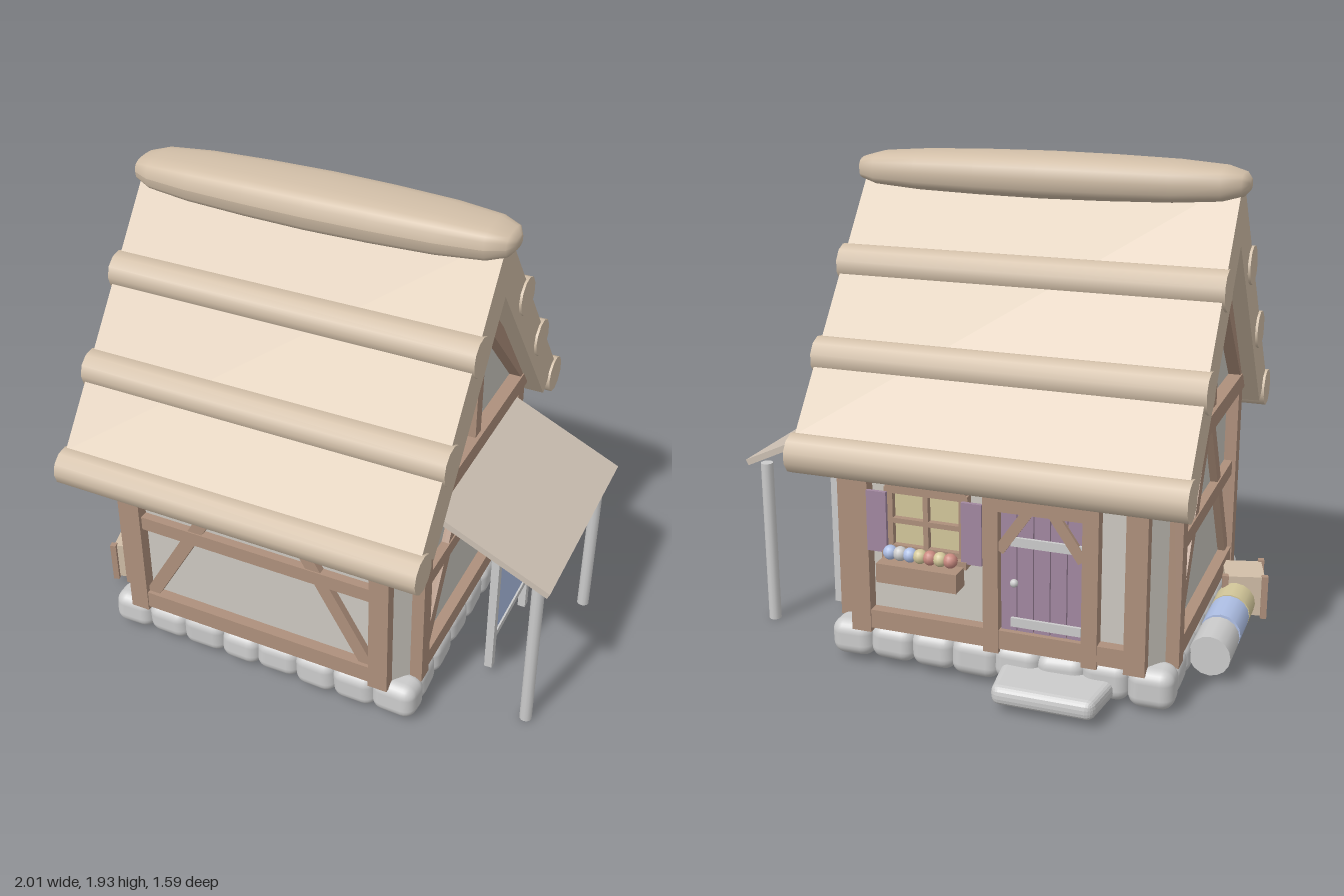
import * as THREE from 'three';
import { RoundedBoxGeometry } from 'three/addons/geometries/RoundedBoxGeometry.js';

const mat = (color) => new THREE.MeshStandardMaterial({ color });
const grey = mat(0xcccccc), plaster = mat(0xccc8c0), wood = mat(0xae907c), thatch = mat(0xd2bfa8);
const canopy = mat(0xcbbfb2), blue = mat(0xafc0e6), purple = mat(0xa288a0), yellow = mat(0xd3c79a), red = mat(0xc98a80);

const CX = -0.13, CZ = 0.015, HX = 0.63, HZ = 0.575; // wall centre and half sizes

function add(parent, name, geo, material, x = 0, y = 0, z = 0) {
  const m = new THREE.Mesh(geo, material);
  m.name = name;
  m.position.set(x, y, z);
  parent.add(m);
  return m;
}
const box = (p, name, material, w, h, d, x, y, z) => add(p, name, new THREE.BoxGeometry(w, h, d), material, x, y, z);

// timber between two points of a wall's own x-y plane
function beam(p, name, a, b, width, depth, z, material = wood) {
  const dx = b[0] - a[0], dy = b[1] - a[1];
  const m = box(p, name, material, Math.hypot(dx, dy), width, depth, (a[0] + b[0]) / 2, (a[1] + b[1]) / 2, z + depth / 2);
  m.rotation.z = Math.atan2(dy, dx);
  return m;
}

function extrude(points, depth) {
  const shape = new THREE.Shape(points.map(([x, y]) => new THREE.Vector2(x, y)));
  return new THREE.ExtrudeGeometry(shape, { depth, bevelEnabled: false });
}

let seed = 7;
const rand = () => (seed = (seed * 16807) % 2147483647) / 2147483647;

// a wall group facing outward; local x runs along the wall, z is out
function wall(root, name, angle) {
  const g = new THREE.Group();
  g.name = name;
  g.position.set(CX, 0, CZ);
  g.rotation.y = angle;
  root.add(g);
  return g;
}

// corner posts, sill, rail and sloping braces shared by the framed walls
function frame(g, out, postX, postW, top, braced) {
  const inner = postX - postW / 2;
  for (const s of [-1, 1]) {
    beam(g, 'cornerPost', [s * postX, 0.15], [s * postX, top], postW, 0.05, out);
    if (braced) beam(g, 'brace', [s * (inner - 0.01), 0.23], [s * (inner - 0.41), 0.92], 0.055, 0.03, out);
  }
  beam(g, 'sill', [-inner, 0.205], [inner, 0.205], 0.075, 0.045, out);
  if (braced) beam(g, 'rail', [-inner, 0.6], [inner, 0.6], 0.06, 0.035, out);
}

function buildBack(g) {
  const z = HZ;
  frame(g, z, 0.54, 0.08, 0.92, false);
  beam(g, 'topBeam', [-0.5, 0.84], [0.5, 0.84], 0.07, 0.045, z);
  // door with planks, hinges and knee braces
  for (const x of [-0.01, 0.37]) beam(g, 'doorPost', [x, 0.15], [x, 0.82], 0.06, 0.05, z);
  beam(g, 'doorLintel', [0, 0.74], [0.37, 0.74], 0.05, 0.05, z);
  for (let i = 0; i < 5; i++) box(g, 'doorPlank', purple, 0.06, 0.54, 0.025, 0.054 + i * 0.064, 0.45, z + 0.012);
  for (const y of [0.28, 0.6]) box(g, 'doorHinge', grey, 0.27, 0.035, 0.012, 0.2, y, z + 0.03);
  for (const s of [-1, 1]) beam(g, 'doorBrace', [0.18 + s * 0.16, 0.56], [0.18 + s * 0.05, 0.72], 0.04, 0.04, z);
  add(g, 'doorKnob', new THREE.SphereGeometry(0.016, 10, 8), grey, 0.08, 0.44, z + 0.04);
  // shop window with shutters
  box(g, 'windowPane', yellow, 0.28, 0.22, 0.01, -0.27, 0.62, z + 0.006);
  for (const y of [0.5, 0.62, 0.75]) beam(g, 'windowBar', [-0.43, y], [-0.11, y], y === 0.62 ? 0.02 : 0.045, 0.035, z);
  for (const x of [-0.42, -0.27, -0.12]) beam(g, 'windowBar', [x, 0.5], [x, 0.75], x === -0.27 ? 0.02 : 0.035, 0.035, z);
  for (const x of [-0.46, -0.08]) box(g, 'shutter', purple, 0.08, 0.24, 0.015, x, 0.615, z + 0.05);
  // counter and wares
  box(g, 'counter', wood, 0.32, 0.075, 0.08, -0.27, 0.445, z + 0.095);
  box(g, 'counterShelf', wood, 0.34, 0.03, 0.05, -0.27, 0.487, z + 0.035);
  const wares = [blue, grey, blue, yellow, red, yellow, red];
  wares.forEach((m, i) => add(g, 'ware', new THREE.SphereGeometry(0.028, 12, 8), m, -0.39 + i * 0.04, 0.515, z + 0.09));
  // doorstep
  const step = add(g, 'doorstep', new RoundedBoxGeometry(0.44, 0.075, 0.23, 2, 0.03), grey, 0.245, 0.07, z + 0.11);
  const p = step.geometry.attributes.position;
  for (let i = 0; i < p.count; i++) if (p.getZ(i) > 0) p.setX(i, p.getX(i) * (1 - 1.2 * p.getZ(i)));
  step.geometry.computeVertexNormals();
}

function buildGable(g) {
  frame(g, HX, 0.48, 0.07, 0.95, true);
  for (const s of [-1, 1]) {
    beam(g, 'edgePost', [s * 0.595, 0.15], [s * 0.595, 0.86], 0.045, 0.01, HX - 0.13);
    beam(g, 'rafter', [s * 0.52, 0.98], [0, 1.53], 0.065, 0.05, HX);
  }
  beam(g, 'tieBeam', [-0.53, 0.965], [0.53, 0.965], 0.07, 0.055, HX);
  beam(g, 'kingPost', [0, 0.98], [0, 1.52], 0.055, 0.04, HX);
}

function buildRoof(root) {
  const g = new THREE.Group();
  g.name = 'roof';
  g.position.set(CX, 0, CZ);
  root.add(g);
  const slab = add(g, 'roofSlopes', extrude([[0, 1.62], [0.595, 0.855], [0.715, 0.95], [0, 1.87], [-0.715, 0.95], [-0.595, 0.855]], 1.48), thatch, -0.74);
  slab.rotation.y = Math.PI / 2;
  for (const s of [-1, 1]) {
    for (const [z, y] of [[0.24, 1.503], [0.478, 1.193], [0.716, 0.883]]) {
      const log = add(g, 'thatchRoll', new THREE.CylinderGeometry(0.077, 0.077, 1.5, 11), thatch, 0, y, s * z);
      log.rotation.z = Math.PI / 2;
    }
  }
  // long pillow along the ridge
  const prof = [[0, -0.77], [0.04, -0.77], [0.08, -0.75], [0.115, -0.68], [0.138, -0.5], [0.15, -0.25], [0.155, 0]];
  const full = prof.concat(prof.slice(0, -1).reverse().map(([r, y]) => [r, -y]));
  const geo = new THREE.LatheGeometry(full.map(([r, y]) => new THREE.Vector2(r, y)), 20);
  geo.rotateZ(Math.PI / 2);
  const p = geo.attributes.position;
  for (let i = 0; i < p.count; i++) { // squash to a rounded-rectangle section
    const r = Math.hypot(p.getY(i), p.getZ(i)) || 1;
    const c = p.getY(i) / r, s = p.getZ(i) / r;
    p.setY(i, Math.sign(c) * Math.abs(c) ** 0.65 * r * 0.55);
    p.setZ(i, Math.sign(s) * Math.abs(s) ** 0.75 * r);
  }
  geo.computeVertexNormals();
  add(g, 'ridgeRoll', geo, thatch, 0.005, 1.845, 0);
}

// ring of rounded foundation stones
function buildFoundation(root) {
  const g = new THREE.Group();
  g.name = 'foundation';
  g.position.set(CX, 0, CZ);
  root.add(g);
  box(g, 'floorSlab', grey, 1.2, 0.13, 1.1, 0, 0.1, 0);
  const stone = (x, z, w, d) => {
    const h = 0.14 + rand() * 0.02;
    const m = add(g, 'stone', new RoundedBoxGeometry(w, h, d, 3, 0.05), grey, x, 0.095 + (rand() - 0.5) * 0.015, z);
    m.rotation.set((rand() - 0.5) * 0.1, (rand() - 0.5) * 0.12, (rand() - 0.5) * 0.1);
  };
  for (const s of [-1, 1]) {
    for (let i = 0; i < 8; i++) stone(-0.595 + i * 0.17, s * 0.55, 0.175 + rand() * 0.02, 0.14);
    for (let i = 0; i < 6; i++) stone(s * 0.61, -0.43 + i * 0.172, 0.14, 0.175 + rand() * 0.02);
  }
}

// lean-to canopy and the notice board beneath it
function buildPorch(root) {
  const g = new THREE.Group();
  g.name = 'porch';
  root.add(g);
  const slab = box(g, 'canopy', canopy, 0.53, 0.025, 0.86, 0.755, 0.81, 0.02);
  slab.rotation.z = -0.435;
  for (const z of [0.39, -0.35]) add(g, 'canopyPost', new THREE.CylinderGeometry(0.025, 0.025, 0.685, 12), grey, 0.94, 0.3425, z);
  for (const z of [0.218, -0.182]) box(g, 'boardPost', grey, 0.032, 0.58, 0.034, 0.72, 0.33, z);
  for (const y of [0.605, 0.195]) box(g, 'boardRail', grey, 0.028, 0.028, 0.4, 0.72, y, 0.018);
  box(g, 'noticeBoard', blue, 0.02, 0.37, 0.365, 0.72, 0.405, 0.02);
}

// cloth rolls and a crate beside the house
function buildGoods(root) {
  const g = new THREE.Group();
  g.name = 'goods';
  root.add(g);
  for (const [m, z, len] of [[grey, -0.2, 0.18], [blue, 0, 0.18], [yellow, 0.16, 0.12]]) {
    const roll = add(g, 'clothRoll', new THREE.CylinderGeometry(0.08, 0.08, len, 16), m, -0.88, 0.11, z);
    roll.rotation.x = Math.PI / 2;
  }
  const crate = new THREE.Group();
  crate.name = 'crate';
  crate.position.set(-0.89, 0.13, 0.315);
  crate.rotation.y = 0.27;
  g.add(crate);
  box(crate, 'crateBody', thatch, 0.16, 0.17, 0.165, 0, 0, 0);
  for (const x of [-0.08, 0.08]) for (const z of [-0.085, 0.085]) box(crate, 'crateEdge', wood, 0.025, 0.185, 0.025, x, 0, z);
}

export function createModel() {
  const root = new THREE.Group();
  root.name = 'cottage';
  // plaster body with cut corners, and gable prism above
  const cx = 0.05, cz = 0.065, oct = [];
  for (const [sx, sz, flip] of [[1, 1, 0], [-1, 1, 1], [-1, -1, 0], [1, -1, 1]]) {
    const a = [sx * HX, sz * (HZ - cz)], b = [sx * (HX - cx), sz * HZ];
    oct.push(...(flip ? [b, a] : [a, b]));
  }
  const body = add(root, 'plasterBody', extrude(oct, 0.8), plaster, CX, 0.9, CZ);
  body.rotation.x = Math.PI / 2;
  const gable = add(root, 'gableWalls', extrude([[-0.5, 0.85], [0.5, 0.85], [0.48, 1], [0, 1.52], [-0.48, 1]], 2 * HX), plaster, CX - HX, 0, CZ);
  gable.rotation.y = Math.PI / 2;

  const front = wall(root, 'frontWall', 0);
  frame(front, HZ, 0.54, 0.08, 0.9, true);
  beam(front, 'topBeam', [-0.5, 0.86], [0.5, 0.86], 0.06, 0.04, HZ);
  buildBack(wall(root, 'backWall', Math.PI));
  buildGable(wall(root, 'leftWall', Math.PI / 2));
  buildGable(wall(root, 'rightWall', -Math.PI / 2));
  buildFoundation(root);
  buildRoof(root);
  buildPorch(root);
  buildGoods(root);
  return root;
}
